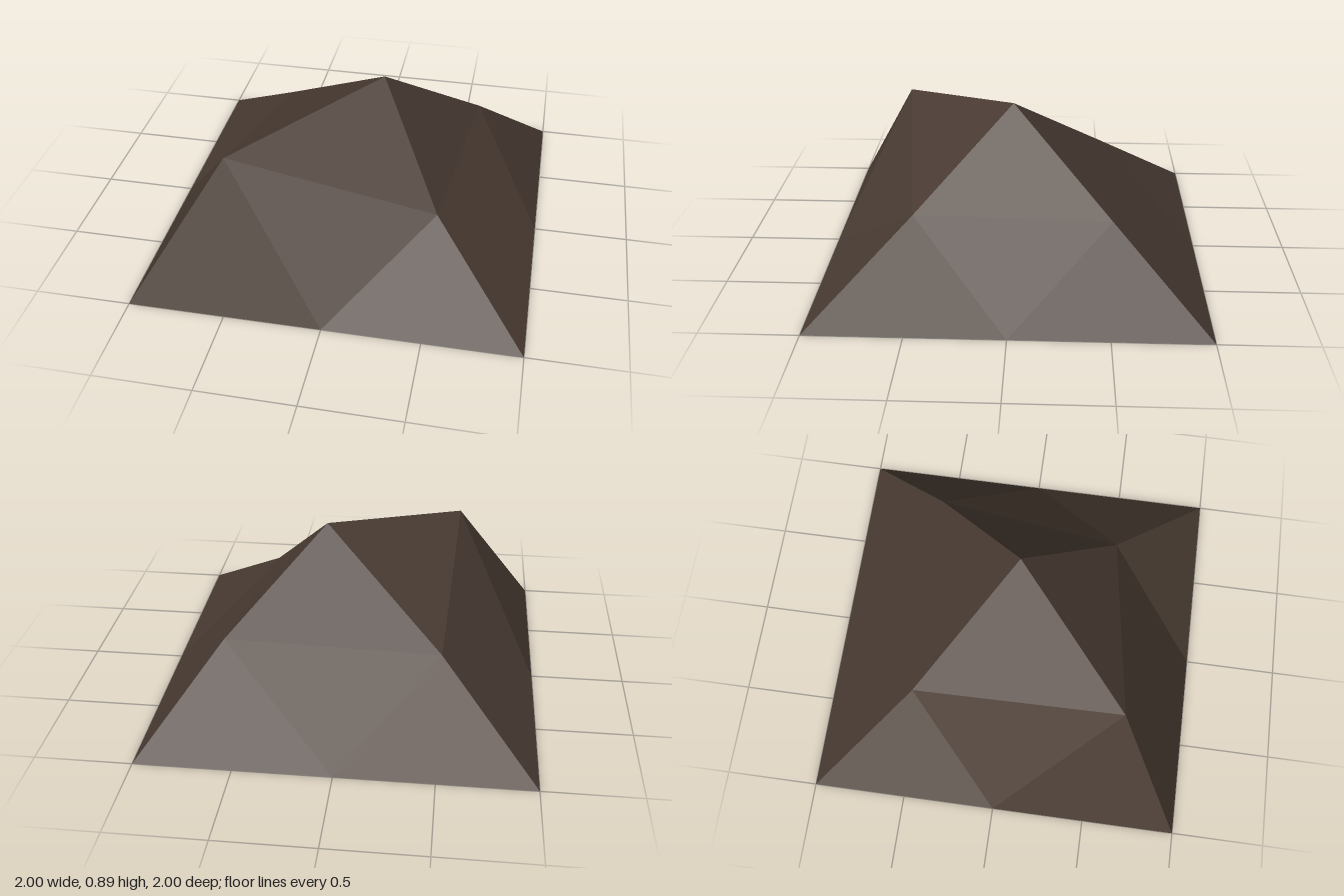
import * as THREE from 'three';

export function createModel() {
  const group = new THREE.Group();
  group.name = 'rock';
  const stone = new THREE.MeshStandardMaterial({ color: 0x4a3c33 });
  stone.name = 'darkBrownStone';

  // Lopsided pyramid: peak, one shoulder on each ridge, square foot
  const peak = [0.14, 0.89, 0];
  const shoulders = [[-0.56, 0.71, 0.63], [0.5, 0.41, 0.5], [0.615, 0.45, -0.51], [-0.5, 0.42, -0.5]];
  const corners = [[-1, 0, 1], [1, 0, 1], [1, 0, -1], [-1, 0, -1]];

  const positions = [];
  const face = (...points) => points.forEach((p) => positions.push(...p));

  // Four facets on each side, meeting at the middle of the bottom edge
  for (let i = 0; i < 4; i++) {
    const j = (i + 1) % 4;
    const foot = corners[i].map((v, k) => (v + corners[j][k]) / 2);
    face(peak, shoulders[i], shoulders[j]);
    face(shoulders[i], foot, shoulders[j]);
    face(shoulders[i], corners[i], foot);
    face(shoulders[j], foot, corners[j]);
  }

  // Flat underside
  face(corners[0], corners[2], corners[1]);
  face(corners[0], corners[3], corners[2]);

  const geometry = new THREE.BufferGeometry();
  geometry.setAttribute('position', new THREE.Float32BufferAttribute(positions, 3));
  geometry.computeVertexNormals(); // unshared corners keep each facet flat

  const rock = new THREE.Mesh(geometry, stone);
  rock.name = 'rockBody';
  group.add(rock);
  return group;
}
